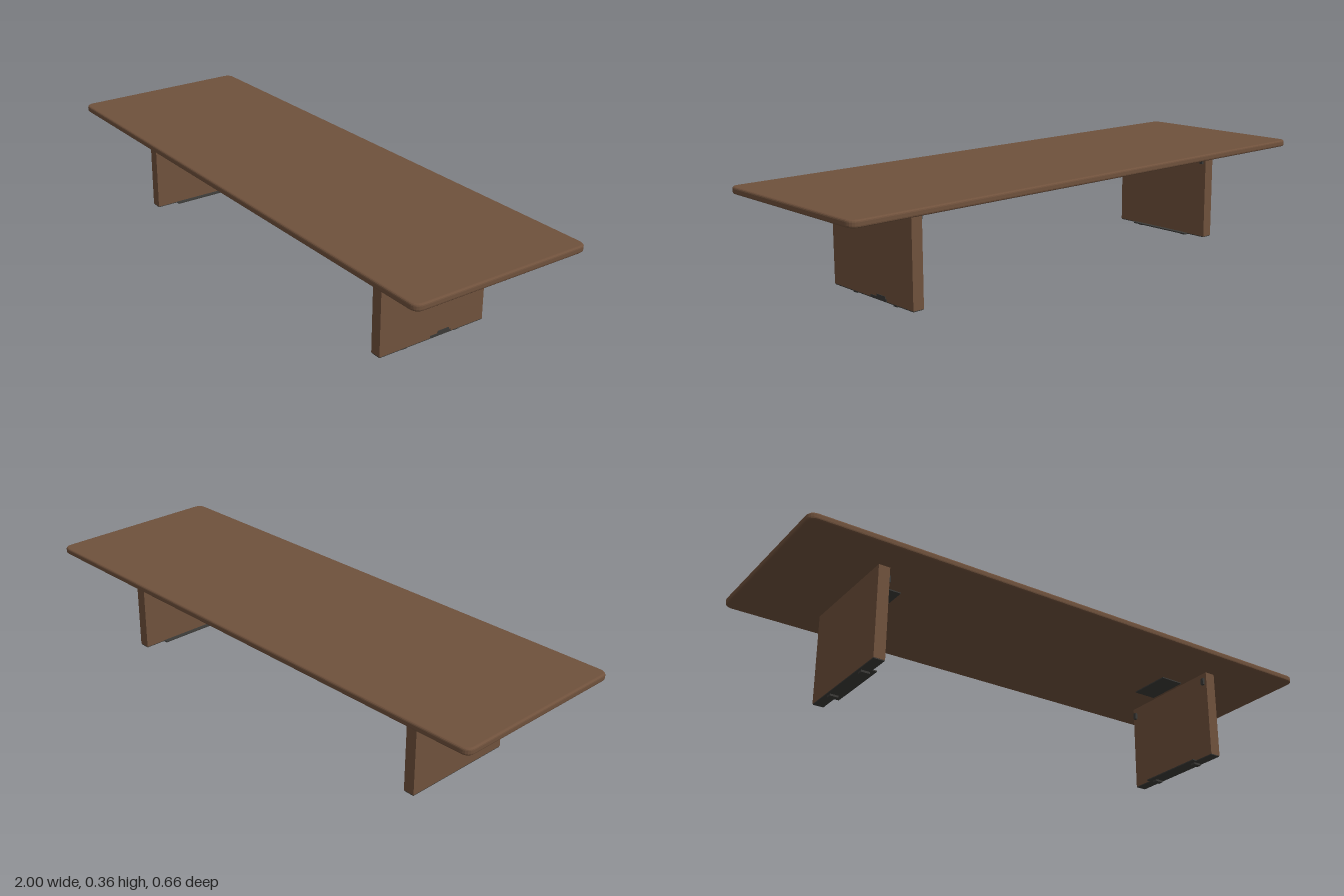
import * as THREE from 'three';

const wood = new THREE.MeshStandardMaterial({ color: 0x6f513c });
wood.name = 'brownWood';
const dark = new THREE.MeshStandardMaterial({ color: 0x3b3a37 });
dark.name = 'darkFitting';

// Slab with rounded corners in plan and a softened edge
function slabGeometry(w, d, h, r, bevel) {
  const x = w / 2 - bevel, z = d / 2 - bevel;
  const s = new THREE.Shape();
  s.moveTo(-x + r, -z);
  s.lineTo(x - r, -z);
  s.quadraticCurveTo(x, -z, x, -z + r);
  s.lineTo(x, z - r);
  s.quadraticCurveTo(x, z, x - r, z);
  s.lineTo(-x + r, z);
  s.quadraticCurveTo(-x, z, -x, z - r);
  s.lineTo(-x, -z + r);
  s.quadraticCurveTo(-x, -z, -x + r, -z);
  const g = new THREE.ExtrudeGeometry(s, {
    depth: h - 2 * bevel, bevelEnabled: true, bevelSize: bevel,
    bevelThickness: bevel, bevelSegments: 3, curveSegments: 6,
  });
  g.rotateX(-Math.PI / 2);
  g.translate(0, bevel, 0);
  return g;
}

function box(parent, name, mat, w, h, d, x, y, z) {
  const m = new THREE.Mesh(new THREE.BoxGeometry(w, h, d), mat);
  m.name = name;
  m.position.set(x, y, z);
  parent.add(m);
}

export function createModel() {
  const table = new THREE.Group();
  table.name = 'lowTable';

  const top = new THREE.Mesh(slabGeometry(2, 0.664, 0.024, 0.025, 0.007), wood);
  top.name = 'tableTop';
  top.position.y = 0.334;
  table.add(top);

  for (const side of [-1, 1]) {
    const leg = new THREE.Group();
    leg.name = side > 0 ? 'leftLeg' : 'rightLeg';
    // Upright panel with a dark sole
    box(leg, 'legPanel', wood, 0.04, 0.326, 0.42, side * 0.685, 0.173, 0);
    box(leg, 'legSole', dark, 0.038, 0.003, 0.418, side * 0.685, 0.0085, 0);
    // Floor flange reaching inward, and its two feet
    box(leg, 'floorFlange', dark, 0.045, 0.004, 0.26, side * 0.672, 0.009, 0);
    for (const z of [-0.107, 0.107]) {
      box(leg, 'footPad', dark, 0.03, 0.008, 0.02, side * 0.682, 0.004, z);
    }
    // Mounting plate under the top
    box(leg, 'mountingPlate', dark, 0.09, 0.004, 0.16, side * 0.605, 0.332, 0.01);
    // Small fixings at the upper inner corners
    for (const z of [-0.195, 0.195]) {
      box(leg, 'cornerFixing', dark, 0.01, 0.025, 0.012, side * 0.661, 0.3, z);
    }
    table.add(leg);
  }

  // Worn patch low on the outer face of the left leg
  box(table, 'wornPatch', dark, 0.002, 0.009, 0.085, 0.7055, 0.0135, -0.033);
  box(table, 'wornPatchTip', dark, 0.002, 0.008, 0.045, 0.7055, 0.022, -0.045);

  return table;
}
